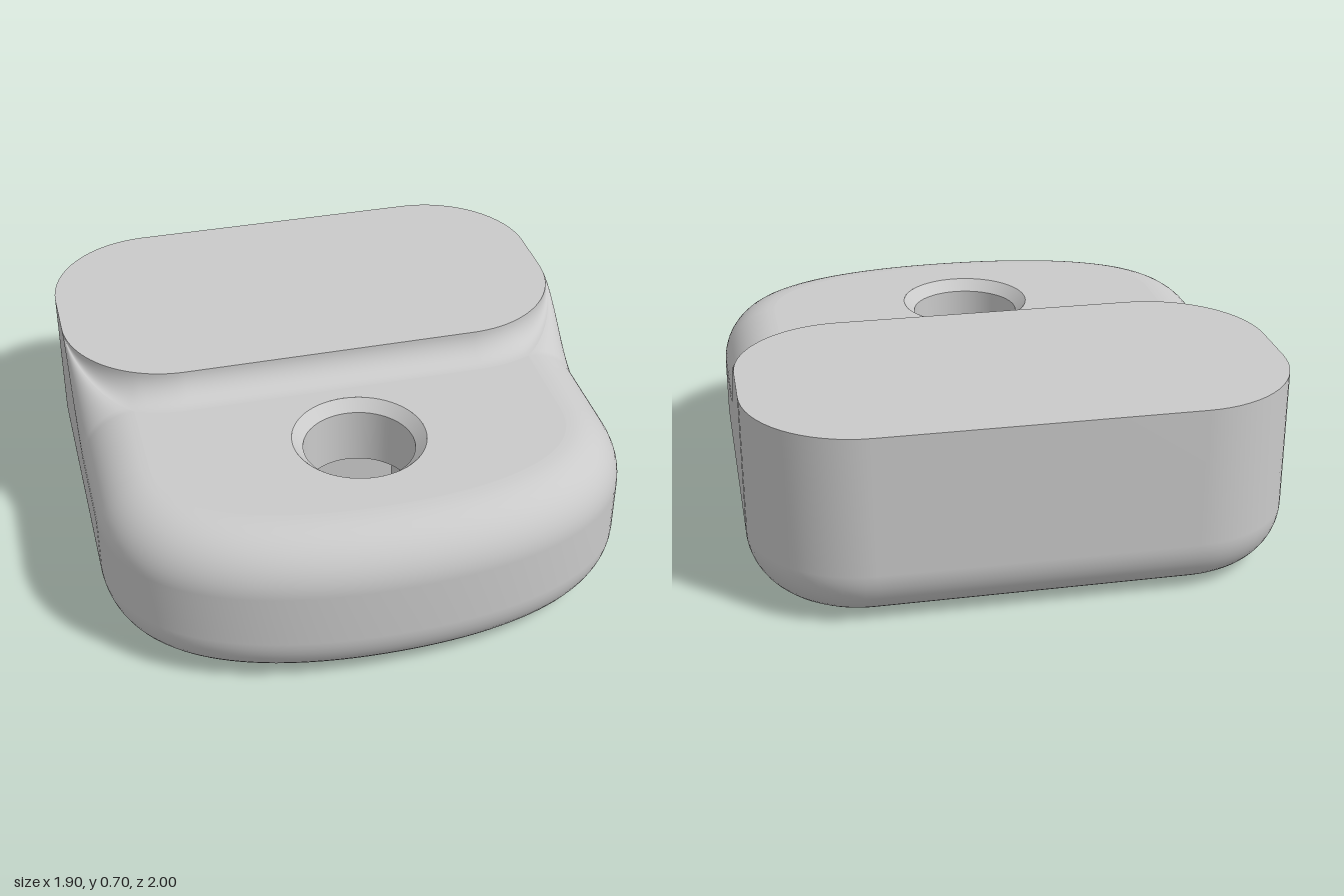
import * as THREE from 'three';

const STEPS = 12;            // segments in each quarter round
const HOLE_Z = 0.4;          // bolt axis
const NUT_R = 0.5;           // nut pocket corner radius
const NUT_FRONT = HOLE_Z + NUT_R * Math.sin(Math.PI / 3);
const POCKET_Y = 0.35;       // nut pocket ceiling
const CORNER = { x: 0.55, z: -0.4 };               // front corner of raised block
const END = Math.atan2(0.458, 0.2);                // angle where cove meets side fillet
const lerp = THREE.MathUtils.lerp;
const ease = (u) => u * u * (3 - 2 * u);

// Point around the raised block's front corner, and the cove's foot there
const around = (a, r) => [CORNER.x + r * Math.cos(a), CORNER.z + r * Math.sin(a)];
const footAt = (u) => around(END * u, 0.4 + 0.1 * u * u);
const mirror = ([x, z]) => [-x, z];
const circle = (r, n) => Array.from({ length: n }, (_, i) => {
  const a = (i / n) * Math.PI * 2;
  return [r * Math.cos(a), HOLE_Z + r * Math.sin(a)];
});

// Half outline, front centre to back centre: o outer point, n normal,
// m inner end of the top fillet, oy and my their heights
function halfOutline() {
  const pts = [];
  const front = (o, n) => pts.push({ o, n, m: [o[0] - 0.2 * n[0], o[1] - 0.2 * n[1]], oy: 0.4, my: 0.6 });
  const back = (o, n) => pts.push({ o, n, m: o, oy: 0.7, my: 0.7 });
  const nose = new THREE.CubicBezierCurve(
    new THREE.Vector2(0, 1), new THREE.Vector2(0.58, 1),
    new THREE.Vector2(0.95, 0.8), new THREE.Vector2(0.95, 0.4));
  for (let i = 0; i <= 32; i++) {
    const p = nose.getPoint(i / 32), t = nose.getTangent(i / 32);
    front([p.x, p.y], [-t.y, t.x]);
  }
  front([0.95, 0.22], [1, 0]);
  // side fillet runs out up to the raised block
  for (let i = 20; i >= 0; i--) {
    const u = i / 20, m = footAt(u);
    pts.push({ o: [0.95, m[1]], n: [1, 0], m, oy: 0.7 - 0.3 * ease(u), my: 0.7 - 0.1 * ease(u) });
  }
  for (let i = 0; i <= 16; i++) {
    const a = (i / 16) * Math.PI / 2, c = Math.cos(a), s = Math.sin(a);
    back([0.55 + 0.4 * c, -0.6 - 0.4 * s], [c, -s]);
  }
  back([0, -1], [0, -1]);
  return pts;
}

// Surface through rows of 3D points
function loft(rows, closed) {
  const n = rows[0].length, index = [];
  for (let k = 0; k < rows.length - 1; k++) {
    for (let i = 0; i < (closed ? n : n - 1); i++) {
      const j = (i + 1) % n, a = k * n + i, b = k * n + j;
      index.push(a, b, a + n, b, b + n, a + n);
    }
  }
  const g = new THREE.BufferGeometry();
  g.setAttribute('position', new THREE.Float32BufferAttribute(rows.flat(2), 3));
  g.setIndex(index);
  g.computeVertexNormals();
  return g;
}

// Flat horizontal face with an optional hole
function cap(points, hole, y, up) {
  const s = up ? -1 : 1;
  const vec = (list) => list.map(([x, z]) => new THREE.Vector2(x, s * z));
  const shape = new THREE.Shape(vec(points));
  if (hole) shape.holes.push(new THREE.Path(vec(hole)));
  return new THREE.ShapeGeometry(shape).rotateX(s * Math.PI / 2).translate(0, y, 0);
}

// Bottom fillet point at inset d, kept clear of the nut pocket's front edge
function bottomPoint({ o, n }, d) {
  const overPocket = n[1] > 0 && Math.abs(o[0] - 0.2 * n[0]) < NUT_R / 2;
  const inset = overPocket ? Math.min(d, (o[1] - NUT_FRONT) / n[1]) : d;
  const y = 0.2 - Math.sqrt(0.04 - (0.2 - inset) ** 2 > 0 ? 0.04 - (0.2 - inset) ** 2 : 0);
  const rise = 0.2 - Math.sqrt(Math.max(0, 0.04 - (0.2 - inset) ** 2));
  return [o[0] - inset * n[0], Math.min(y, rise), o[1] - inset * n[1]];
}

export function createModel() {
  const group = new THREE.Group();
  const grey = new THREE.MeshStandardMaterial({ color: 0xcacaca, side: THREE.DoubleSide });
  grey.name = 'grey';
  const add = (name, geometry) => {
    const mesh = new THREE.Mesh(geometry, grey);
    mesh.name = name;
    group.add(mesh);
  };

  const half = halfOutline();
  const other = half.slice(1, -1).reverse().map((p) => (
    { ...p, o: mirror(p.o), n: mirror(p.n), m: mirror(p.m) }));
  const outline = [...half, ...other];

  // Side walls with bottom and top fillets
  const rows = [];
  for (let k = 0; k <= STEPS; k++) {
    const d = 0.2 * (1 - Math.sin((k / STEPS) * Math.PI / 2));
    rows.push(outline.map((p) => bottomPoint(p, d)));
  }
  for (let k = 0; k <= STEPS; k++) {
    const a = (k / STEPS) * Math.PI / 2, h = 1 - Math.cos(a);
    rows.push(outline.map(({ o, m, oy, my }) => [
      lerp(o[0], m[0], h), lerp(oy, my, Math.sin(a)), lerp(o[1], m[1], h)]));
  }
  add('sideWalls', loft(rows, true));

  // Cove between the raised block and the front deck
  const coveHalf = [];
  for (let i = 0; i <= 20; i++) {
    const u = i / 20;
    coveHalf.push({ top: around(END * u, 0.4), foot: footAt(u), y: 0.7 - 0.1 * ease(u), deck: i === 20 });
  }
  for (let i = 1; i <= 6; i++) {
    const a = lerp(END, Math.PI / 2, i / 6);
    coveHalf.push({ top: around(a, 0.4), foot: around(a, 0.5), y: 0.6, deck: true });
  }
  const cove = [...coveHalf, ...[...coveHalf].reverse().map((p) => (
    { ...p, top: mirror(p.top), foot: mirror(p.foot) }))];
  const coveRows = [];
  for (let k = 0; k <= STEPS; k++) {
    const a = (k / STEPS) * Math.PI / 2, h = 1 - Math.cos(a);
    coveRows.push(cove.map(({ top, foot, y }) => [
      lerp(top[0], foot[0], h), lerp(0.7, y, Math.sin(a)), lerp(top[1], foot[1], h)]));
  }
  add('cove', loft(coveRows, false));

  // Flat tops
  const backEdge = outline.filter((p) => p.o[1] < -0.5).map((p) => p.o);
  add('raisedTop', cap([...backEdge, ...cove.map((p) => p.top).reverse()], null, 0.7, true));
  const noseEdge = half.filter((p) => p.o[1] > 0.05).map((p) => p.m);
  const foot = cove.filter((p) => p.deck).map((p) => p.foot).slice(1, -1);
  const deck = [...noseEdge, ...foot, ...noseEdge.slice(1).reverse().map(mirror)];
  add('frontDeck', cap(deck, circle(0.24, 64), 0.6, true));

  // Underside, notched where the nut pocket breaks into the front fillet
  const base = outline.map(({ o, n }) => [o[0] - 0.2 * n[0], o[1] - 0.2 * n[1]])
    .filter(([x, z]) => z < 0 || Math.abs(x) > 0.3);
  const hexagon = circle(NUT_R, 6);
  const notch = [2, 3, 4, 5, 0, 1].map((i) => hexagon[i]);
  add('underside', cap([...base, ...notch], null, 0, false));

  // Bolt hole with chamfered rim, and hexagonal nut pocket below
  const tube = (top, bottom, y0, y1, sides) => new THREE.CylinderGeometry(
    top, bottom, y1 - y0, sides, 1, true).rotateY(Math.PI / 6).translate(0, (y0 + y1) / 2, HOLE_Z);
  add('holeChamfer', tube(0.24, 0.2, 0.56, 0.6, 64));
  add('boltHole', tube(0.2, 0.2, POCKET_Y, 0.56, 64));
  const pocket = tube(NUT_R, NUT_R, 0, POCKET_Y, 6).toNonIndexed();
  pocket.computeVertexNormals();
  add('nutPocketWalls', pocket);
  add('nutPocketCeiling', cap(hexagon, circle(0.2, 64), POCKET_Y, false));
  return group;
}
